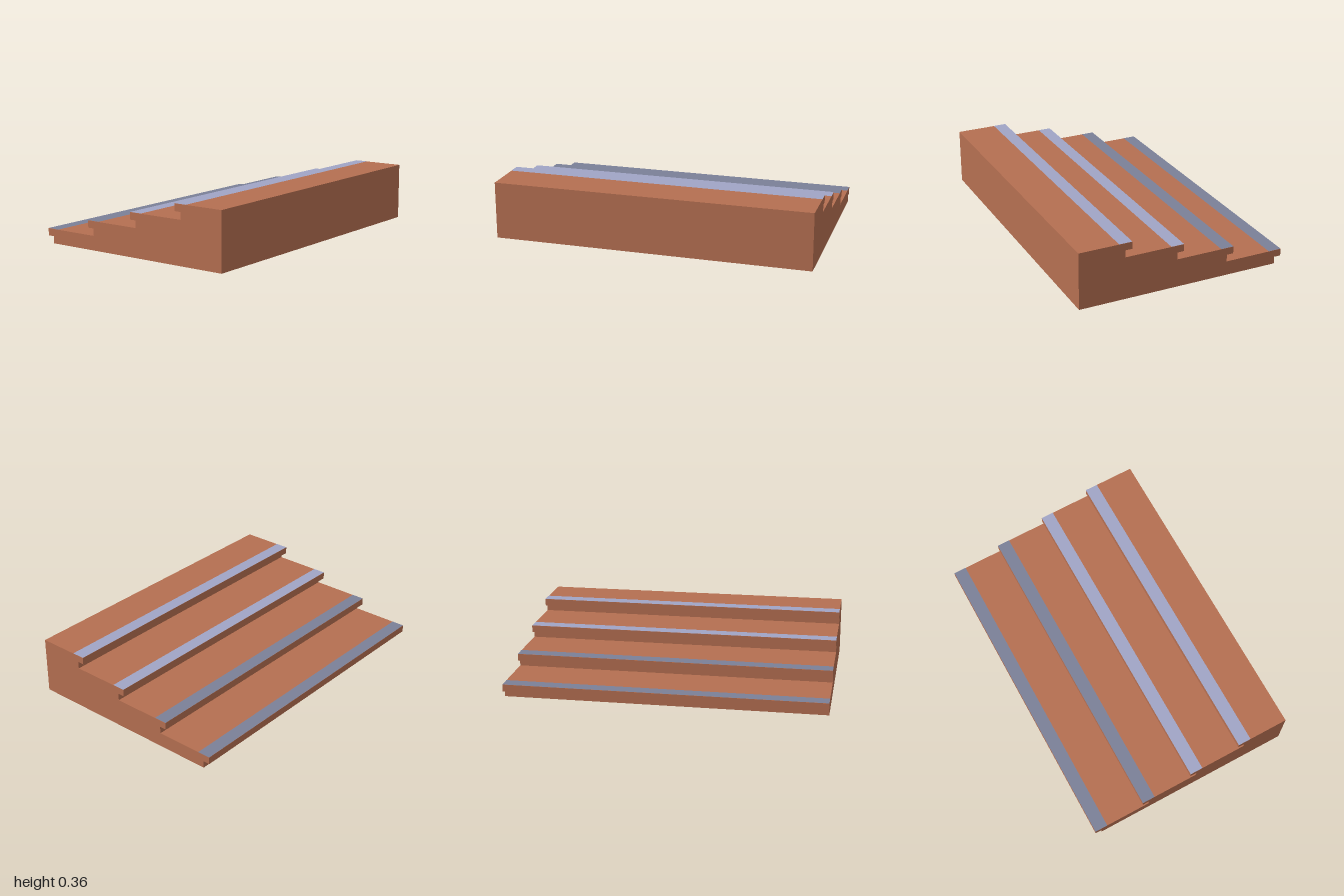
import * as THREE from 'three';

export function createModel() {
  const brick = new THREE.MeshStandardMaterial({ color: 0xb56f51 });
  brick.name = 'brick';
  const lightStrip = new THREE.MeshStandardMaterial({ color: 0xa0a5c6 });
  lightStrip.name = 'paleBlue';
  const darkStrip = new THREE.MeshStandardMaterial({ color: 0x7b8098 });
  darkStrip.name = 'slateBlue';

  const steps = 4, width = 1.991, halfDepth = 0.67;
  const tread = (2 * halfDepth) / steps, rise = 0.09;
  const lip = 0.045, overhang = 0.043, stripDepth = 0.083;

  const model = new THREE.Group();
  model.name = 'steps';
  const stair = new THREE.Group();
  stair.name = 'staircase';
  stair.rotation.y = -0.0065; // slightly skewed in plan
  model.add(stair);

  // Side profile (z, y): each step has a nosing overhanging its riser
  const points = [new THREE.Vector2(halfDepth, 0)];
  for (let i = 0; i < steps; i++) {
    const nose = -halfDepth + i * tread, y = i * rise;
    points.push(
      new THREE.Vector2(nose + overhang, y),
      new THREE.Vector2(nose + overhang, y + rise - lip),
      new THREE.Vector2(nose, y + rise - lip),
      new THREE.Vector2(nose, y + rise)
    );
  }
  points.push(new THREE.Vector2(halfDepth, steps * rise));
  const bodyGeometry = new THREE.ExtrudeGeometry(new THREE.Shape(points), { depth: width, bevelEnabled: false });
  bodyGeometry.translate(0, 0, -width / 2).rotateY(-Math.PI / 2);
  const body = new THREE.Mesh(bodyGeometry, brick);
  body.name = 'stepBody';
  stair.add(body);

  // Painted strips along the tread edges
  const stripGeometry = new THREE.PlaneGeometry(width, stripDepth).rotateX(-Math.PI / 2);
  for (let i = 0; i < steps; i++) {
    const strip = new THREE.Mesh(stripGeometry, i < 2 ? darkStrip : lightStrip);
    strip.name = `edgeStrip${i + 1}`;
    strip.position.set(0, (i + 1) * rise + 0.001, -halfDepth + i * tread + stripDepth / 2);
    stair.add(strip);
  }
  return model;
}
